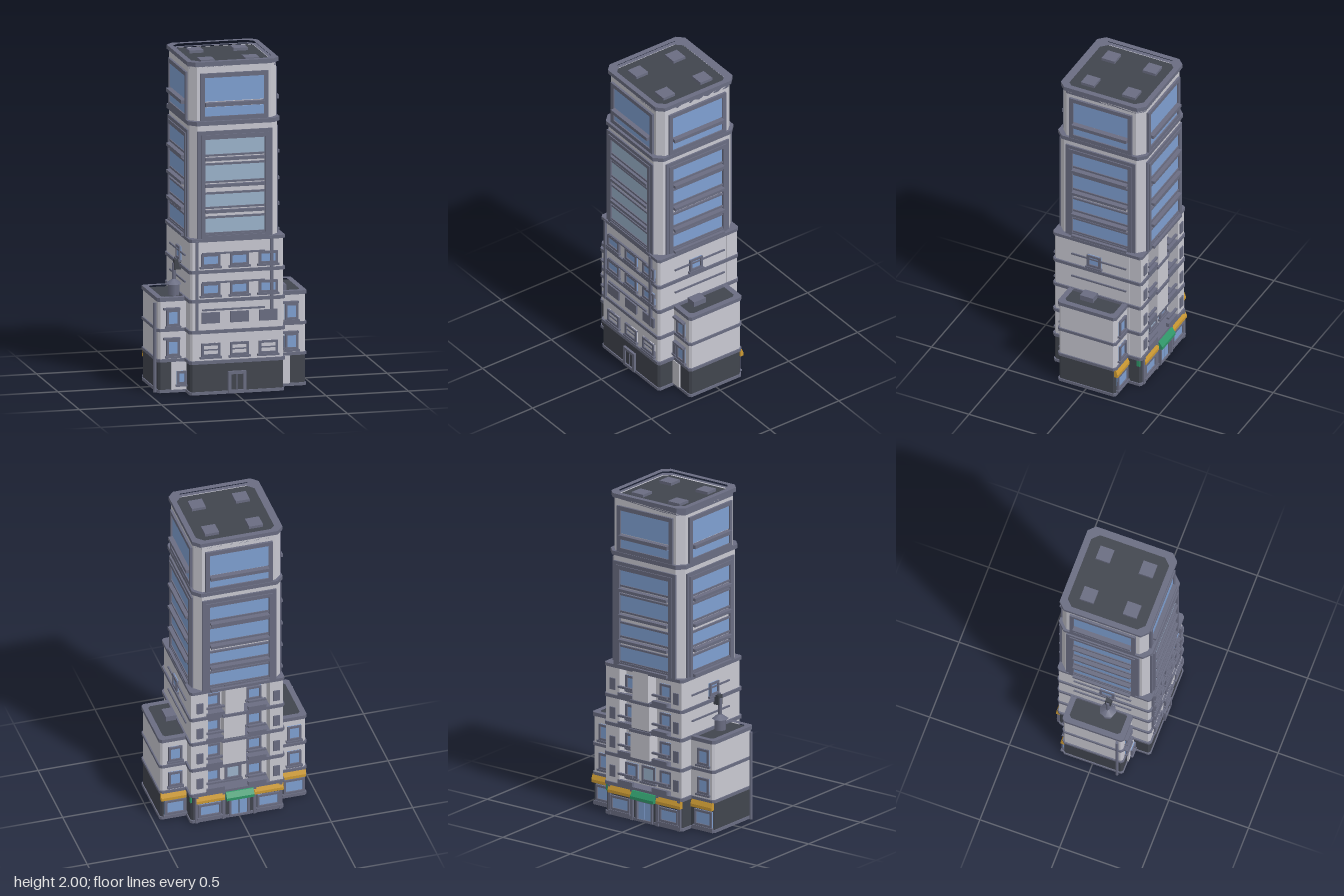
import * as THREE from 'three';

const mat = (name, color) => Object.assign(new THREE.MeshStandardMaterial({ color }), { name });

export function createModel() {
  const root = new THREE.Group();
  root.name = 'officeTower';
  const wall = mat('paleWall', 0xc9c9d2), trim = mat('slateTrim', 0x6a6d82), dark = mat('charcoal', 0x41454e);
  const glass = mat('blueGlass', 0x7fa0d2), pale = mat('paleGlass', 0x9cb4cc);
  const gold = mat('goldAwning', 0xcc9a34), green = mat('greenAwning', 0x2f9668);

  // box given by its limits
  const box = (parent, name, m, x0, x1, y0, y1, z0, z1) => {
    const b = new THREE.Mesh(new THREE.BoxGeometry(x1 - x0, y1 - y0, z1 - z0), m);
    b.position.set((x0 + x1) / 2, (y0 + y1) / 2, (z0 + z1) / 2);
    b.name = name;
    parent.add(b);
    return b;
  };
  // outline of a rectangle with cut corners
  const octagon = (x0, x1, z0, z1, c) => [
    [x0 + c, z0], [x1 - c, z0], [x1, z0 + c], [x1, z1 - c],
    [x1 - c, z1], [x0 + c, z1], [x0, z1 - c], [x0, z0 + c],
  ].map(([x, z]) => new THREE.Vector2(x, -z));
  // upright slab with cut corners, hollow when rim is given
  const slab = (name, m, [x0, x1, z0, z1], y0, y1, c = 0.03, rim = 0) => {
    const s = new THREE.Shape(octagon(x0, x1, z0, z1, c));
    if (rim) s.holes.push(new THREE.Path(octagon(x0 + rim, x1 - rim, z0 + rim, z1 - rim, c)));
    const g = new THREE.ExtrudeGeometry(s, { depth: y1 - y0, bevelEnabled: false }).rotateX(-Math.PI / 2);
    const o = new THREE.Mesh(g, m);
    o.position.y = y0;
    o.name = name;
    root.add(o);
  };
  const grow = ([a, b, c, d], k) => [a - k, b + k, c - k, d + k];
  // local frame on a facade: x runs along it, z points outward
  const facade = (name, x, z, angle) => {
    const g = new THREE.Group();
    g.name = name;
    g.position.set(x, 0, z);
    g.rotation.y = angle;
    root.add(g);
    return g;
  };
  // rectangular frame on a facade
  const frame = (g, name, x0, x1, y0, y1, w, d, m = trim) => {
    box(g, name, m, x0, x0 + w, y0, y1, -0.005, d);
    box(g, name, m, x1 - w, x1, y0, y1, -0.005, d);
    box(g, name, m, x0 + w, x1 - w, y1 - w, y1, -0.005, d);
    box(g, name, m, x0 + w, x1 - w, y0, y0 + w, -0.005, d);
  };
  // small framed window with sill
  const smallWindow = (g, x, y, w, h, m = glass) => {
    box(g, 'windowPane', m, x - w / 2, x + w / 2, y - h / 2, y + h / 2, -0.002, 0.005);
    frame(g, 'windowFrame', x - w / 2, x + w / 2, y - h / 2, y + h / 2, 0.014, 0.013);
    box(g, 'windowSill', trim, x - w / 2 - 0.008, x + w / 2 + 0.008, y - h / 2 - 0.012, y - h / 2, 0, 0.018);
  };

  // tower stages, ground upward
  const base = [-0.27, 0.293, -0.275, 0.295], mid = [-0.265, 0.268, -0.275, 0.285], top = [-0.265, 0.265, -0.27, 0.268];
  slab('groundFloor', dark, base, 0, 0.19, 0.012);
  slab('lowerTower', wall, [-0.27, 0.293, -0.21, 0.295], 0.19, 0.93, 0.012);
  for (const [a, b] of [[-0.27, -0.19], [0.19, 0.293]])
    box(root, 'rearPier', wall, a, b, 0.19, 0.93, -0.275, -0.2);
  slab('middleTower', wall, mid, 0.93, 1.63, 0.04);
  slab('upperTower', wall, top, 1.63, 1.97, 0.04);
  slab('plinth', trim, grow(base, 0.006), 0, 0.018, 0.012);
  for (const y of [0.185, 0.368, 0.555, 0.73, 0.92]) slab('floorCornice', trim, grow(base, 0.01), y, y + 0.02, 0.015);
  slab('middleCornice', trim, grow(mid, 0.013), 1.62, 1.645, 0.045);
  slab('roofParapet', trim, grow(top, 0.012), 1.975, 2, 0.04, 0.032);
  slab('parapetWall', trim, top, 1.95, 1.98, 0.04, 0.025);
  slab('roofDeck', dark, grow(top, -0.02), 1.96, 1.973, 0.03);
  for (const x of [-0.135, 0.135]) for (const z of [-0.135, 0.135])
    box(root, 'roofVent', trim, x - 0.043, x + 0.043, 1.965, 1.99, z - 0.043, z + 0.043);

  // large window bands on the four sides
  const sides = [
    ['front', 0, mid[3], top[3], 0, pale], ['right', 1, mid[1], top[1], Math.PI / 2, glass],
    ['back', 0, -mid[2], -top[2], Math.PI, glass], ['left', 1, -mid[0], -top[0], -Math.PI / 2, glass],
  ];
  for (const [name, alongX, dMid, dTop, angle, pane] of sides) {
    const at = (n, d) => facade(name + n, Math.sin(angle) * d, Math.cos(angle) * d, angle);
    const m = at('MiddleWindows', dMid), t = at('UpperWindows', dTop);
    frame(m, 'outerFrame', -0.228, 0.228, 0.94, 1.585, 0.022, 0.01);
    frame(m, 'innerFrame', -0.206, 0.206, 0.94, 1.563, 0.024, 0.016);
    [[0.975, 1.06], [1.13, 1.205], [1.285, 1.38], [1.445, 1.535]].forEach(([a, b]) => {
      box(m, 'glassBand', pane, -0.18, 0.18, a, b, 0, 0.006);
      box(m, 'bandRail', trim, -0.18, 0.18, b, b + 0.012, 0, 0.012);
      box(m, 'bandRail', trim, -0.18, 0.18, a - 0.012, a, 0, 0.012);
      box(m, 'ledge', trim, -0.18, 0.18, a - 0.038, a - 0.02, 0, name === 'front' ? 0.022 : 0.033);
    });
    frame(t, 'topFrame', -0.206, 0.206, 1.645, 1.93, 0.026, 0.014);
    box(t, 'glassBand', glass, -0.18, 0.18, 1.65, 1.725, 0, 0.006);
    box(t, 'glassBand', glass, -0.18, 0.18, 1.76, 1.91, 0, 0.006);
    box(t, 'ledge', trim, -0.18, 0.18, 1.733, 1.755, 0, 0.033);
  }

  // front lower floors
  const front = facade('frontLowerFacade', 0, base[3], 0);
  for (const x of [-0.15, 0.025, 0.2]) {
    for (const y of [0.81, 0.635]) smallWindow(front, x, y, 0.115, 0.075);
    smallWindow(front, x, 0.27, 0.115, 0.08, wall);
    box(front, 'louvre', trim, x - 0.045, x + 0.045, 0.266, 0.274, 0, 0.01);
    box(front, 'shutter', trim, x - 0.055, x + 0.055, 0.43, 0.495, 0, 0.013);
  }
  for (const y of [0.505, 0.67, 0.845]) box(front, 'frontRail', trim, -0.2, 0.18, y, y + 0.01, 0, 0.012);
  box(front, 'cornerPipe', trim, -0.24, -0.225, 0.37, 0.93, 0, 0.014);
  box(front, 'cornerPipe', trim, 0.212, 0.23, 0.43, 0.93, 0, 0.016);
  box(front, 'doorLeaf', dark, -0.03, 0.05, 0.015, 0.115, 0, 0.006);
  frame(front, 'doorFrame', -0.045, 0.065, 0.005, 0.135, 0.018, 0.015);
  box(front, 'doorSplit', trim, 0.007, 0.013, 0.02, 0.12, 0, 0.009);

  // sides above the wings
  for (const [x, a] of [[base[1], Math.PI / 2], [base[0], -Math.PI / 2]]) {
    const g = facade('sideLowerFacade', x, 0, a);
    smallWindow(g, Math.sign(x) * -0.03, 0.81, 0.09, 0.08);
    box(g, 'sideRail', trim, -0.18, 0.18, 0.815, 0.825, 0, 0.008);
    box(g, 'sideRail', trim, -0.18, 0.18, 0.655, 0.665, 0, 0.008);
  }

  // side wings
  for (const s of [-1, 1]) {
    const x0 = s < 0 ? -0.437 : 0.26, x1 = s < 0 ? -0.25 : 0.455;
    const w = [x0, x1, -0.185, 0.185];
    slab('wingBase', dark, w, 0, 0.19, 0.012);
    slab('wingWalls', wall, w, 0.19, 0.55, 0.012);
    slab('wingPlinth', trim, grow(w, 0.006), 0, 0.018, 0.012);
    for (const y of [0.185, 0.368]) slab('wingCornice', trim, grow(w, 0.008), y, y + 0.018, 0.015);
    slab('wingParapet', trim, grow(w, 0.008), 0.55, 0.573, 0.015, 0.033);
    slab('wingRoof', dark, w, 0.549, 0.557, 0.012);

    const f = facade('wingFront', 0, 0.185, 0);
    const inner = s < 0 ? [-0.36, -0.27] : [0.29, 0.36];
    box(f, 'entryWall', wall, ...inner, 0.018, 0.185, -0.01, 0.012);
    for (const y of [0.27, 0.45]) {
      smallWindow(f, s < 0 ? -0.35 : 0.37, y, 0.08, 0.1);
      box(f, 'windowHood', trim, s * 0.36 - 0.05, s * 0.36 + 0.05, y + 0.05, y + 0.062, 0, 0.024);
    }
    if (s < 0) smallWindow(facade('entryWindow', 0, 0.197, 0), -0.3, 0.09, 0.06, 0.08);
    else smallWindow(f, 0.31, 0.27, 0.03, 0.07);

    // wing rear with shopfront
    const r = facade('wingRear', 0, -0.185, Math.PI);
    const c = -s * 0.365;
    for (const y of [0.28, 0.46]) smallWindow(r, c, y, 0.085, 0.1);
    smallWindow(r, c, 0.08, 0.13, 0.1);
  }
  const pipe = new THREE.Mesh(new THREE.CylinderGeometry(0.01, 0.01, 0.54, 8), trim);
  pipe.position.set(-0.452, 0.27, 0.157);
  pipe.name = 'drainPipe';
  root.add(pipe);

  // rooftop equipment on the wings
  box(root, 'wingVent', trim, 0.3, 0.365, 0.55, 0.59, 0.005, 0.09);
  for (const [name, r0, r1, y, h] of [['tankBody', 0.035, 0.035, 0.59, 0.07], ['tankRoof', 0.008, 0.05, 0.64, 0.03], ['tankPipe', 0.012, 0.012, 0.7, 0.1]]) {
    const o = new THREE.Mesh(new THREE.CylinderGeometry(r0, r1, h, 8), trim);
    o.position.set(-0.308, y, 0.047);
    o.name = name;
    root.add(o);
  }
  box(root, 'pipeHead', dark, -0.31, -0.27, 0.71, 0.77, 0.03, 0.065);

  // rear shaft, windows and balconies
  [[0.39, 0.55, 0.14], [0.575, 0.73, 0.13], [0.75, 0.95, 0.115]].forEach(([a, b, w]) => {
    box(root, 'rearShaft', wall, 0.03 - w / 2, 0.03 + w / 2, a, b, -0.287, -0.2);
    box(root, 'shaftCap', trim, 0.022 - w / 2, 0.038 + w / 2, b, b + 0.018, -0.293, -0.2);
  });
  const recess = facade('rearRecess', 0, -0.21, Math.PI), rear = facade('rearGround', 0, -0.275, Math.PI);
  for (const y of [0.28, 0.46, 0.64, 0.82]) {
    for (const x of [-0.145, 0.11]) {
      smallWindow(recess, x, y, 0.09, 0.09);
      box(recess, 'balconyRail', trim, x - 0.055, x + 0.055, y - 0.02, y - 0.008, 0.06, 0.075);
      box(recess, 'balconyPanel', trim, x - 0.055, x + 0.055, y - 0.085, y - 0.05, 0.055, 0.075);
    }
    for (const x of [-0.24, 0.23]) box(rear, 'pierPanel', trim, x - 0.02, x + 0.02, y - 0.04, y + 0.03, 0, 0.008);
  }
  smallWindow(recess, -0.02, 0.28, 0.1, 0.1, pale);

  // rear shopfronts and door
  for (const x of [-0.18, 0.18]) smallWindow(rear, x, 0.08, 0.14, 0.09);
  for (const x of [-0.025, 0.025]) box(rear, 'glassDoor', glass, x - 0.022, x + 0.022, 0.015, 0.125, 0, 0.006);
  frame(rear, 'shopDoorFrame', -0.062, 0.062, 0.005, 0.14, 0.013, 0.015);
  for (const x of [-0.262, -0.095, 0.095, 0.255]) box(rear, 'shopColumn', trim, x - 0.01, x + 0.01, 0, 0.185, -0.004, 0.012);

  // sloping awnings
  const awning = (name, m, x0, x1, z, depth) => {
    const s = new THREE.Shape([[0, 0.14], [depth, 0.14], [depth, 0.158], [depth * 0.5, 0.188], [0, 0.192]].map(p => new THREE.Vector2(...p)));
    const o = new THREE.Mesh(new THREE.ExtrudeGeometry(s, { depth: x1 - x0, bevelEnabled: false }).rotateY(Math.PI / 2), m);
    o.position.set(x0, 0, z);
    o.name = name;
    root.add(o);
  };
  for (const [a, b, z] of [[-0.27, -0.09, -0.27], [0.09, 0.265, -0.27], [-0.435, -0.28, -0.18], [0.3, 0.455, -0.18]])
    awning('shopAwning', gold, a, b, z, 0.024);
  awning('doorAwning', green, -0.085, 0.085, -0.27, 0.043);
  box(root, 'sideSign', green, 0.275, 0.297, 0.14, 0.18, -0.27, -0.25);
  return root;
}
